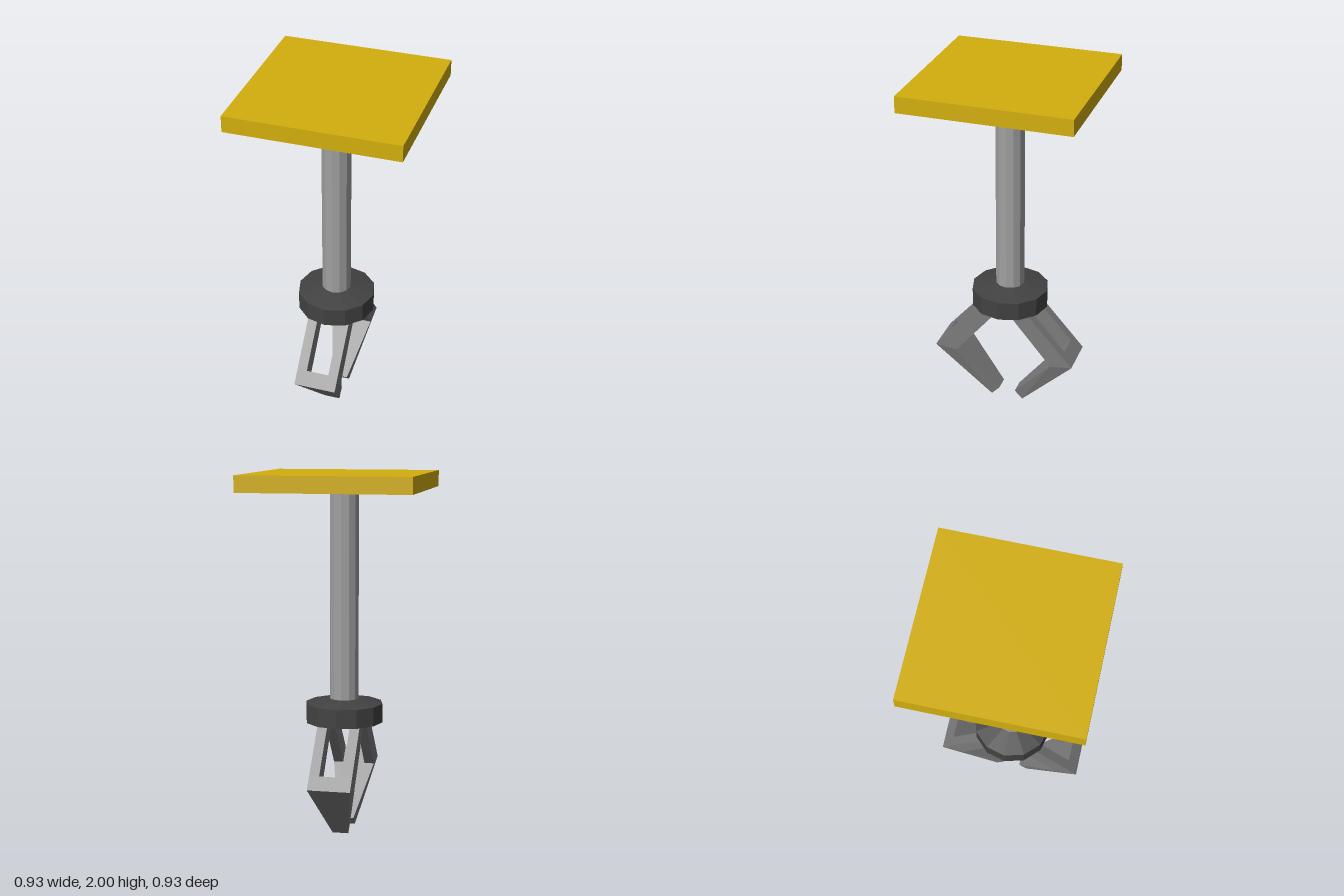
import * as THREE from 'three';
import { ConvexGeometry } from 'three/addons/geometries/ConvexGeometry.js';

const paint = (color) => new THREE.MeshStandardMaterial({ color, flatShading: true });

function part(name, geometry, material, x = 0, y = 0, z = 0) {
  const mesh = new THREE.Mesh(geometry, material);
  mesh.name = name;
  mesh.position.set(x, y, z);
  return mesh;
}

// solid spanning corners given as [z, y, left x, right x]
function block(corners) {
  return new ConvexGeometry(corners.flatMap(([z, y, x0, x1]) => [
    new THREE.Vector3(x0, y, z), new THREE.Vector3(x1, y, z),
  ]));
}

// one bent finger: two rails, a solid elbow and a tapered claw
function createFinger(material) {
  const finger = new THREE.Group();
  finger.name = 'finger';
  const w = 0.118, slot = 0.063, tip = 0.045;
  const outerElbow = [0.407, 0.325], innerElbow = [0.28, 0.31];
  const outerSlot = [0.35, 0.39], innerSlot = [0.281, 0.312];
  const outerTop = [0.121, 0.65], innerTop = [0.001, 0.65];
  const outerTip = [0.093, 0], innerTip = [0.048, 0.047];
  const span = (points, x0, x1) => points.map((p) => [...p, x0, x1]);

  for (const [name, x0, x1] of [['leftRail', slot, w], ['rightRail', -w, -slot]]) {
    finger.add(part(name, block(span([outerSlot, innerSlot, outerTop, innerTop], x0, x1)), material));
  }
  finger.add(part('elbow', block(span([outerElbow, innerElbow, outerSlot, innerSlot], -w, w)), material));
  finger.add(part('claw', block([
    ...span([outerElbow, innerElbow], -w, w),
    ...span([outerTip, innerTip], -tip, tip),
  ]), material));
  return finger;
}

export function createModel() {
  const model = new THREE.Group();
  model.name = 'ceilingGripper';
  const cx = -0.015, cz = 0.016;

  // ceiling plate
  model.add(part('mountingPlate', new THREE.BoxGeometry(0.934, 0.09, 0.934), paint(0xd4af0d), 0, 1.955, 0));

  // pole
  model.add(part('pole', new THREE.CylinderGeometry(0.081, 0.081, 1.21, 12), paint(0xa0a0a0), cx, 1.315, cz));

  // collar with a sloped shoulder
  const profile = [[0, 0.625], [0.216, 0.625], [0.216, 0.73], [0.075, 0.757], [0, 0.757]]
    .map(([r, y]) => new THREE.Vector2(r, y));
  model.add(part('collar', new THREE.LatheGeometry(profile, 12), paint(0x424242), cx, 0, cz));

  // opposed pair of fingers
  const fingerPaint = paint(0x7c7c7c);
  for (const turn of [0, Math.PI]) {
    const finger = createFinger(fingerPaint);
    finger.position.set(-0.012, 0, 0.022);
    finger.rotation.y = turn;
    finger.name = turn ? 'backFinger' : 'frontFinger';
    model.add(finger);
  }
  return model;
}
